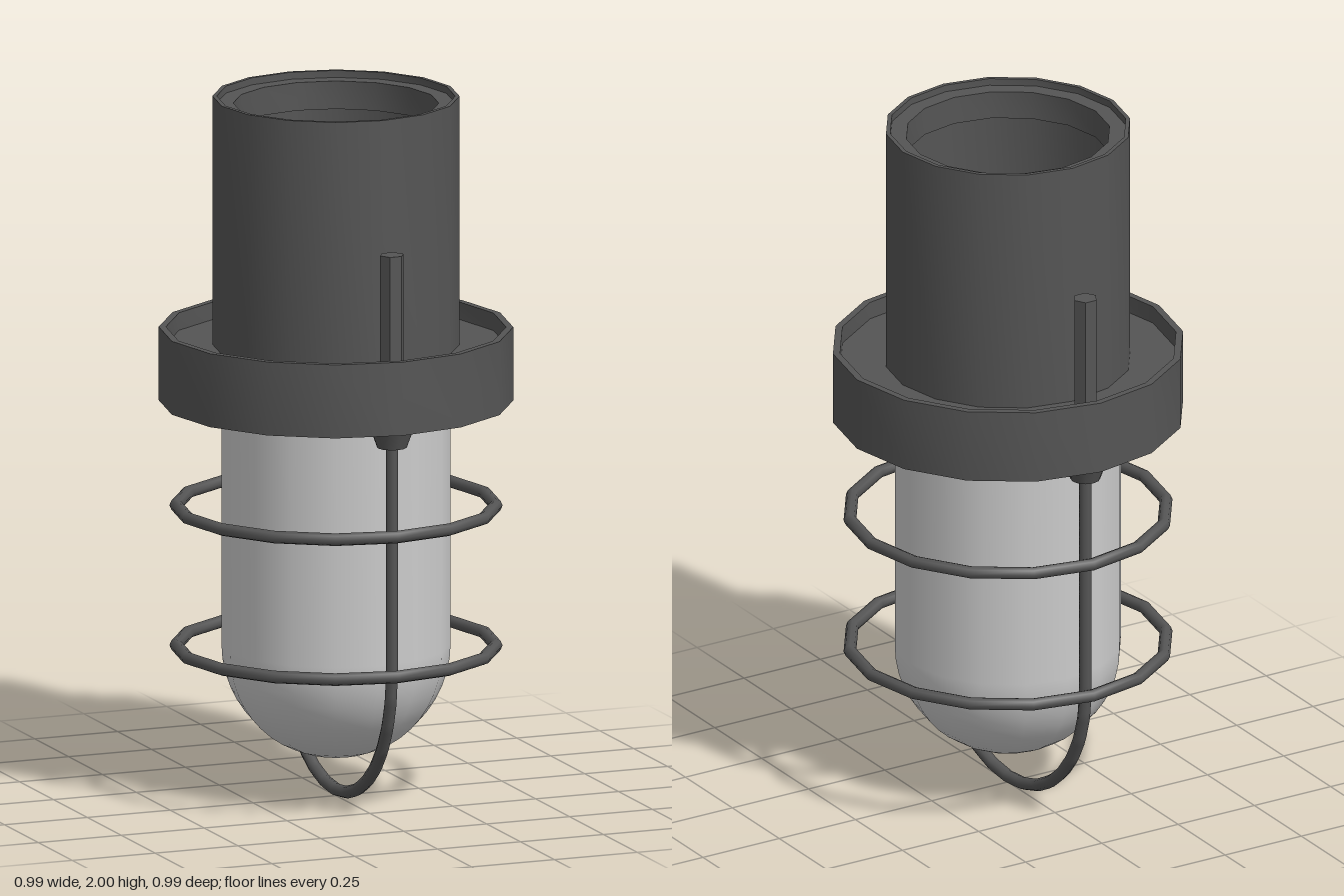
import * as THREE from 'three';
import { toCreasedNormals } from 'three/addons/utils/BufferGeometryUtils.js';

const SIDES = 16;
const metal = new THREE.MeshStandardMaterial({ color: 0x555555 });
const glass = new THREE.MeshStandardMaterial({ color: 0xcccccc, side: THREE.DoubleSide });

const points = (list) => list.map(([r, y]) => new THREE.Vector2(r, y));

export function createModel() {
  const model = new THREE.Group();
  model.name = 'cagedBulkheadLamp';

  const add = (name, geometry, material, x = 0, y = 0, z = 0) => {
    const mesh = new THREE.Mesh(geometry, material);
    mesh.name = name;
    mesh.position.set(x, y, z);
    model.add(mesh);
    return mesh;
  };

  // Hollow housing: flange with raised rim, tall tube with stepped mouth
  const housing = points([
    [0.3, 1.13], [0.495, 1.13], [0.495, 1.34], [0.475, 1.34], [0.475, 1.29],
    [0.345, 1.29], [0.345, 2], [0.333, 2], [0.333, 1.98], [0.287, 1.98],
    [0.287, 1.9], [0.322, 1.9], [0.322, 1.13],
  ]);
  add('housing', toCreasedNormals(new THREE.LatheGeometry(housing, SIDES), 0.6), metal);

  // Open glass cover: hemisphere running up into a straight wall
  const R = 0.32, domeY = 0.435, dome = [];
  for (let i = 0; i <= 12; i++) {
    const a = (i / 12) * Math.PI / 2;
    dome.push([R * Math.sin(a), domeY - R * Math.cos(a)]);
  }
  dome.push([R, 1.2]);
  add('glassCover', new THREE.LatheGeometry(points(dome), SIDES), glass);

  // Horizontal guard rings
  for (const y of [0.43, 0.83]) {
    const ring = new THREE.TorusGeometry(0.447, 0.018, 8, SIDES).rotateX(Math.PI / 2);
    add('guardRing', ring, metal, 0, y, 0);
  }

  // U-shaped guard bar: two straight legs and a half circle
  const barZ = 0.412, bendY = 0.43;
  const bar = new THREE.CurvePath();
  const path = [new THREE.Vector3(0, 1.12, barZ)];
  for (let i = 0; i <= 16; i++) {
    const a = (i / 16) * Math.PI;
    path.push(new THREE.Vector3(0, bendY - barZ * Math.sin(a), barZ * Math.cos(a)));
  }
  path.push(new THREE.Vector3(0, 1.12, -barZ));
  for (let i = 1; i < path.length; i++) bar.add(new THREE.LineCurve3(path[i - 1], path[i]));
  add('guardBar', new THREE.TubeGeometry(bar, 96, 0.018, 8), metal);

  // Hexagonal studs above the flange and tapered collars below it
  for (const z of [barZ, -barZ]) {
    const stud = new THREE.CylinderGeometry(0.035, 0.035, 0.36, 6).rotateY(Math.PI / 6);
    add('stud', toCreasedNormals(stud, 0.6), metal, 0, 1.45, z);
    const collar = new THREE.CylinderGeometry(0.062, 0.042, 0.055, 12);
    add('barCollar', toCreasedNormals(collar, 0.6), metal, 0, 1.1075, z);
  }

  return model;
}
